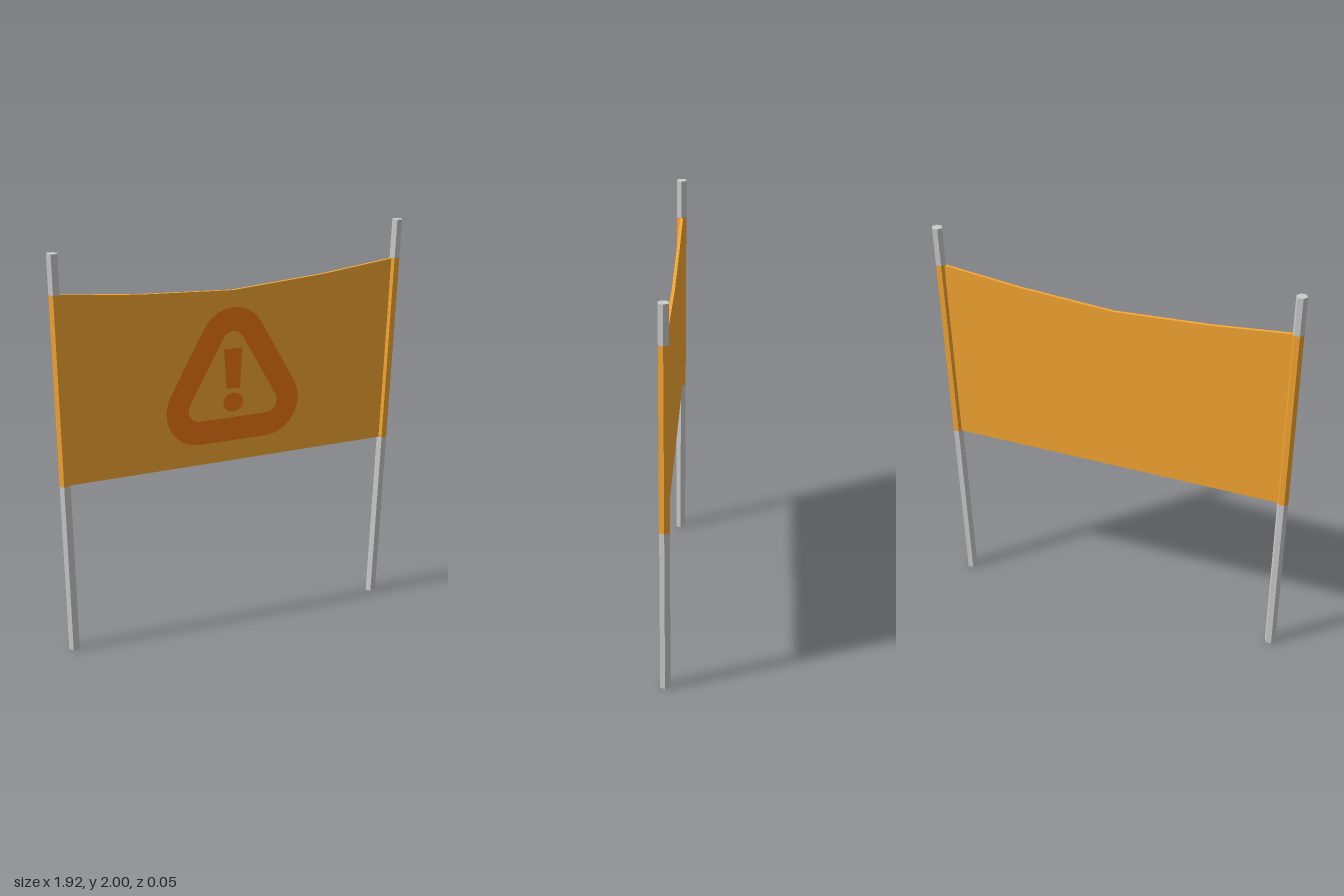
import * as THREE from 'three';

const CLOTH_LOW = 0.857, CLOTH_HIGH = 1.803, CLOTH_DEPTH = 0.016;

// Centre of each leaning pole at a given height
const poleX = {
  right: (y) => -0.876 - 0.029 * y,
  left: (y) => 0.827 + 0.0525 * y,
};

// Hexagonal pole section, sheared so its ends stay level
function poleSection(name, material, centreX, y0, y1, open) {
  const geometry = new THREE.CylinderGeometry(0.028, 0.028, y1 - y0, 6, 1, open, Math.PI / 2);
  geometry.translate(0, (y0 + y1) / 2, 0);
  const p = geometry.attributes.position;
  for (let i = 0; i < p.count; i++) p.setX(i, p.getX(i) + centreX(p.getY(i)));
  geometry.computeVertexNormals();
  const mesh = new THREE.Mesh(geometry, material);
  mesh.name = name;
  return mesh;
}

// Triangle with rounded corners: corner centres are fixed, radius sets the size
function roundedTriangle(radius, steps = 8) {
  const corners = [[0.185, 1.142, -90], [0, 1.465, 30], [-0.185, 1.142, 150]];
  const points = [];
  for (const [x, y, start] of corners) {
    for (let i = 0; i <= steps; i++) {
      const a = THREE.MathUtils.degToRad(start + (120 * i) / steps);
      points.push(new THREE.Vector2(x + radius * Math.cos(a), y + radius * Math.sin(a)));
    }
  }
  return points;
}

export function createModel() {
  const model = new THREE.Group();
  model.name = 'warningBanner';
  const metal = new THREE.MeshStandardMaterial({ color: 0xcccccc, flatShading: true });
  const cloth = new THREE.MeshStandardMaterial({ color: 0xf8a832, flatShading: true });
  const paint = new THREE.MeshStandardMaterial({ color: 0xf07812, flatShading: true });

  // Poles with cloth sleeves around their middle
  for (const side of ['left', 'right']) {
    const x = poleX[side];
    model.add(
      poleSection(side + 'PoleBottom', metal, x, 0, CLOTH_LOW, false),
      poleSection(side + 'Sleeve', cloth, x, CLOTH_LOW, CLOTH_HIGH, true),
      poleSection(side + 'PoleTop', metal, x, CLOTH_HIGH, 2, false),
    );
  }

  // Cloth panel with a sagging top edge
  const outline = new THREE.Shape([
    [poleX.right(CLOTH_LOW), CLOTH_LOW], [poleX.left(CLOTH_LOW), CLOTH_LOW],
    [poleX.left(CLOTH_HIGH), CLOTH_HIGH], [0.5, 1.76], [0, 1.73], [-0.5, 1.76],
    [poleX.right(CLOTH_HIGH), CLOTH_HIGH],
  ].map(([x, y]) => new THREE.Vector2(x, y)));
  const panelGeometry = new THREE.ExtrudeGeometry(outline, { depth: CLOTH_DEPTH, bevelEnabled: false });
  panelGeometry.translate(0, 0, -CLOTH_DEPTH / 2);
  const panel = new THREE.Mesh(panelGeometry, cloth);
  panel.name = 'clothPanel';
  model.add(panel);

  // Warning sign painted on the front
  const sign = new THREE.Group();
  sign.name = 'warningSign';
  sign.position.z = CLOTH_DEPTH / 2 + 0.0015;
  const frame = new THREE.Shape(roundedTriangle(0.18));
  frame.holes.push(new THREE.Path(roundedTriangle(0.06).reverse()));
  const stroke = new THREE.Shape([
    new THREE.Vector2(-0.038, 1.232), new THREE.Vector2(0.038, 1.232),
    new THREE.Vector2(0.05, 1.435), new THREE.Vector2(-0.05, 1.435),
  ]);
  const dot = new THREE.Shape();
  dot.absellipse(0, 1.16, 0.055, 0.049, 0, Math.PI * 2);
  for (const [name, shape] of Object.entries({ triangleFrame: frame, markStroke: stroke, markDot: dot })) {
    const mesh = new THREE.Mesh(new THREE.ShapeGeometry(shape, 12), paint);
    mesh.name = name;
    sign.add(mesh);
  }
  model.add(sign);

  return model;
}
